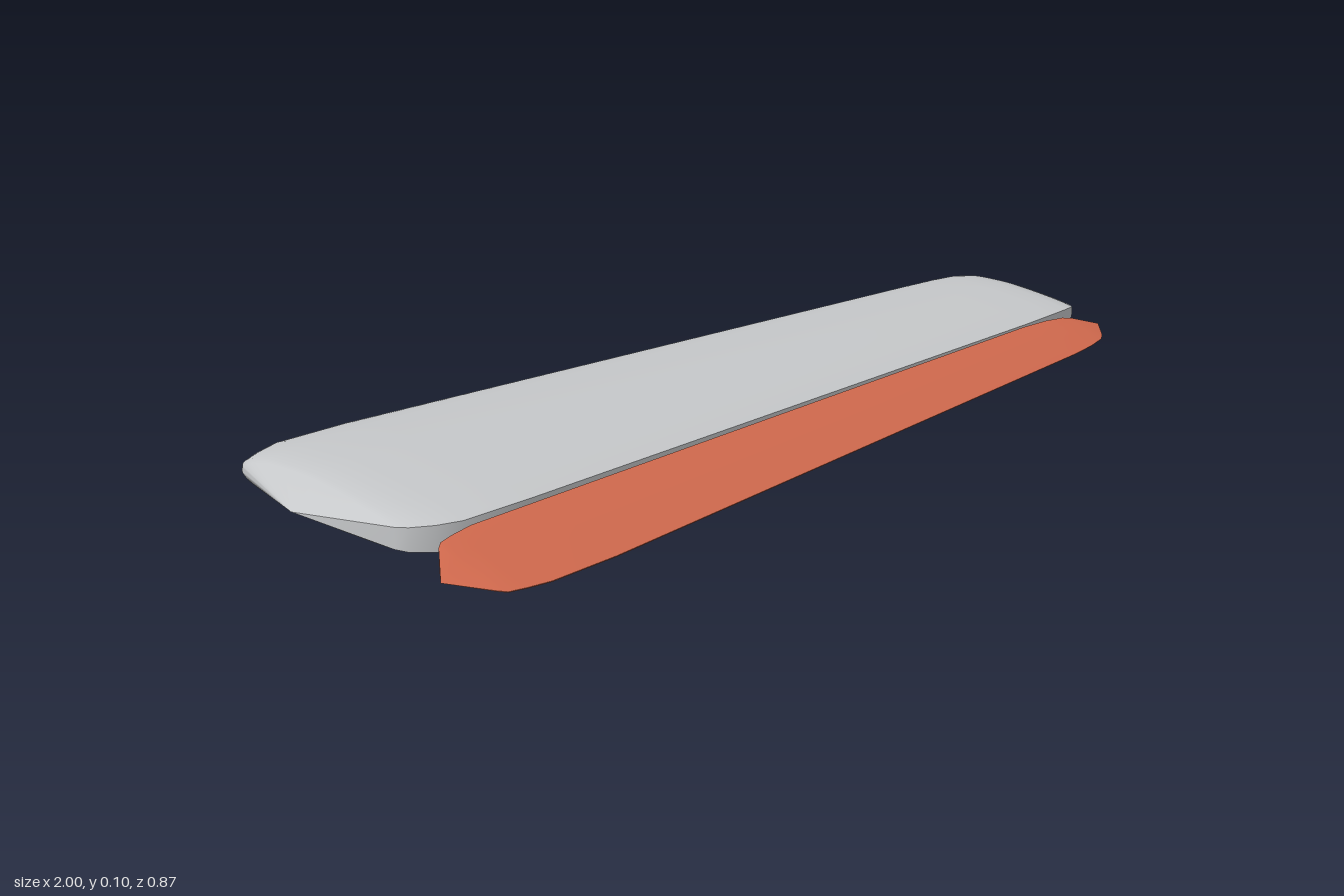
import * as THREE from 'three';
import { toCreasedNormals } from 'three/addons/utils/BufferGeometryUtils.js';

const MID_Y = 0.05;

// Smooth line through [chord fraction, height] points
function smooth(points, n) {
  return new THREE.SplineCurve(points.map(p => new THREE.Vector2(...p))).getPoints(n);
}

// Loft a closed profile through stations [x, leading z, trailing z, thickness scale].
// A station with equal z values closes the end in a point.
function loft(profile, stations, crease) {
  const pos = [], index = [], n = profile.length;
  for (const [x, lead, trail, t] of stations)
    for (const p of profile)
      pos.push(x, MID_Y + (p.y - MID_Y) * t, lead + (trail - lead) * p.x);
  const isPoint = s => s[1] === s[2];
  for (let i = 0; i < stations.length - 1; i++) {
    for (let j = 0; j < n; j++) {
      const k = (j + 1) % n;
      const a = i * n + j, b = i * n + k, c = b + n, d = a + n;
      if (!isPoint(stations[i + 1])) index.push(a, d, c);
      else index.push(a, d, b);
      if (!isPoint(stations[i]) && !isPoint(stations[i + 1])) index.push(a, c, b);
    }
  }
  // At a pointed first station the remaining triangle is a, d, c
  const geo = new THREE.BufferGeometry();
  geo.setAttribute('position', new THREE.Float32BufferAttribute(pos, 3));
  geo.setIndex(index);
  return toCreasedNormals(geo, crease);
}

export function createModel() {
  const grey = new THREE.MeshStandardMaterial({ color: 0xc6c8ca });
  grey.name = 'light grey';
  const orange = new THREE.MeshStandardMaterial({ color: 0xd0694d });
  orange.name = 'burnt orange';

  // Fixed plane: rounded nose, flat rear face
  const planeProfile = smooth([
    [1, 0.078], [0.87, 0.09], [0.7, 0.099], [0.5, 0.105], [0.38, 0.103], [0.22, 0.094],
    [0.14, 0.085], [0.06, 0.07], [0.015, 0.055], [0, 0.041], [0.015, 0.029], [0.06, 0.018],
    [0.14, 0.01], [0.22, 0.005], [0.38, 0.001], [0.5, 0.002], [0.7, 0.006], [0.87, 0.013],
    [1, 0.02]], 60);
  const plane = new THREE.Mesh(loft(planeProfile, [
    [-1, -0.13, -0.13, 0],
    [-0.935, -0.385, 0.105, 0.78],
    [-0.92, -0.405, 0.13, 0.86],
    [-0.88, -0.424, 0.16, 0.94],
    [-0.83, -0.44, 0.18, 0.99],
    [-0.67, -0.433, 0.182, 0.98],
    [0.8, -0.259, 0.145, 0.6],
    [0.9, -0.246, 0.139, 0.56],
    [0.95, -0.236, 0.134, 0.51],
    [0.98, -0.223, 0.127, 0.43],
    [0.992, -0.2, 0.11, 0.34],
    [0.997, -0.16, 0.07, 0.18],
    [0.998, -0.04, -0.04, 0]], 0.7), grey);
  plane.name = 'fixedPlane';

  // Hinged surface: wedge with a blunt front and sharp trailing edge
  const flapProfile = [
    [1, 0.037], [0.6, 0.057], [0.3, 0.07], [0.1, 0.077], [0, 0.078],
    [0, 0.05], [0, 0.021], [0.3, 0.025], [0.6, 0.03], [1, 0.035]
  ].map(p => new THREE.Vector2(...p));
  const flap = new THREE.Mesh(loft(flapProfile, [
    [-1, 0.325, 0.325, 0],
    [-0.935, 0.238, 0.4, 0.78],
    [-0.92, 0.225, 0.417, 0.88],
    [-0.88, 0.214, 0.425, 0.95],
    [-0.83, 0.206, 0.432, 1],
    [-0.67, 0.202, 0.428, 0.98],
    [0.78, 0.155, 0.303, 0.62],
    [0.85, 0.158, 0.293, 0.58],
    [0.9, 0.166, 0.28, 0.5],
    [0.92, 0.178, 0.265, 0.4],
    [0.96, 0.22, 0.22, 0]], 0.6), orange);
  flap.name = 'hingedFlap';

  const group = new THREE.Group();
  group.name = 'tailplane';
  group.add(plane, flap);
  return group;
}
